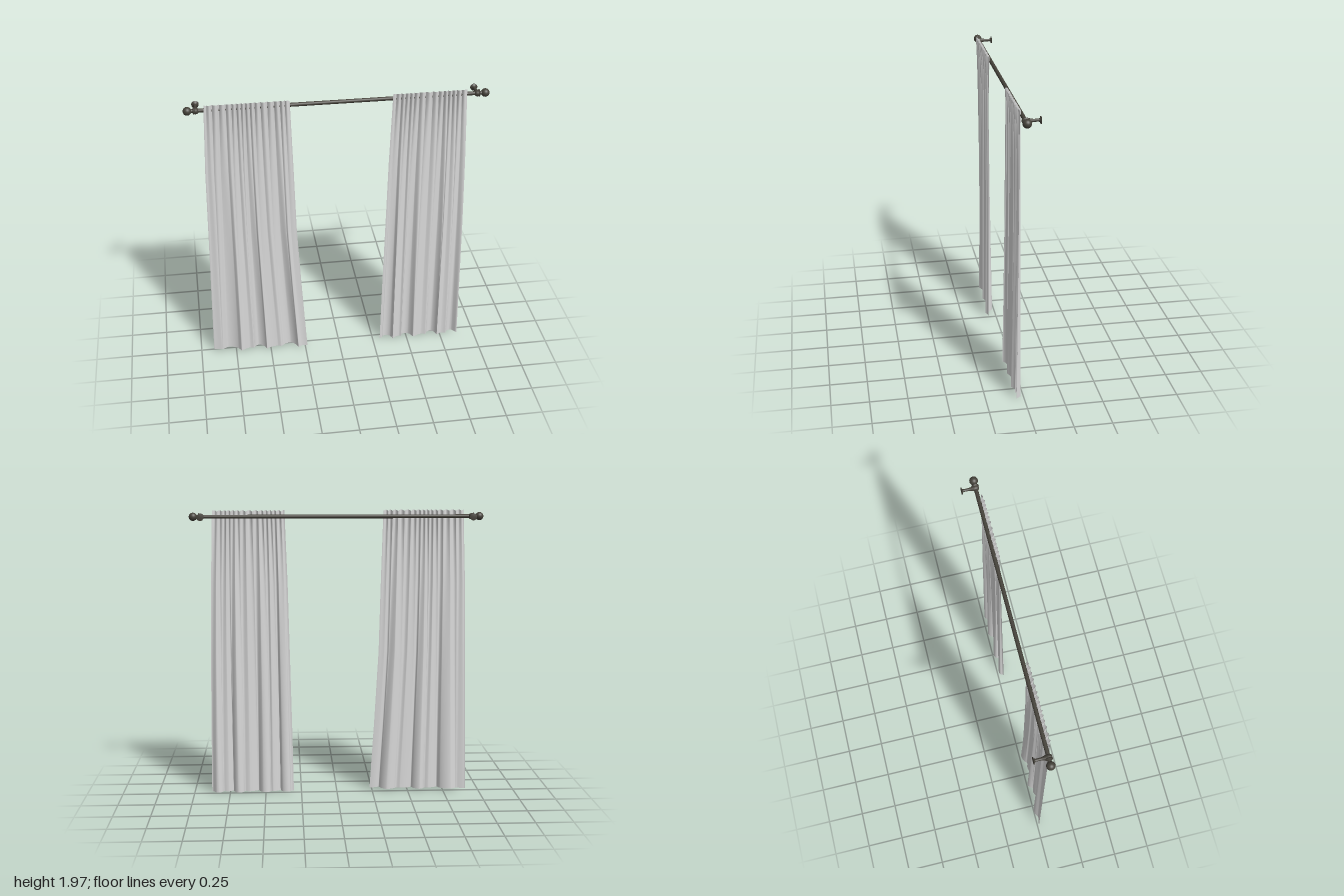
import * as THREE from 'three';

const ROD_Y = 1.93, ROD_Z = 0.014;

// piecewise-linear lookup, values given at equal steps from hem (0) to top (1)
function sample(list, t) {
  const f = t * (list.length - 1), i = Math.min(Math.floor(f), list.length - 2);
  return THREE.MathUtils.lerp(list[i], list[i + 1], f - i);
}

// A gathered cloth panel: tight pleats at the rod opening into broad soft folds at the hem
function curtain({ left, right, leftZ, rightZ, bottom, top, pleats, seed }) {
  const geo = new THREE.PlaneGeometry(1, 1, 280, 36);
  const p = geo.attributes.position;
  for (let i = 0; i < p.count; i++) {
    const u = p.getX(i) + 0.5, v = p.getY(i) + 0.5;
    const open = 1 - v;
    const edge = Math.min(1, Math.min(u, 1 - u) / 0.06);
    // uneven fold spacing, drifting slightly with height
    const w = u + 0.022 * Math.sin(11 * u + seed) + 0.012 * open * Math.sin(5 * u + 2 * v + seed);
    const a = w * pleats * Math.PI * 2 + seed;
    const b = w * 6.7 * Math.PI * 2 + 2 * seed;
    const c = w * 3.3 * Math.PI * 2 + seed;
    // rounded pleats with narrow creases, deepest at the rod
    const pleat = 2 * Math.abs(Math.sin(a / 2)) - 1;
    const depth = 0.0015 + 0.003 * v + 0.0085 * v ** 10;
    const z = 0.034 + edge * (depth * pleat
      + (0.003 + 0.009 * open) * Math.sin(b) * (1 - v ** 10)
      + 0.018 * open * Math.sin(c))
      + open * ((1 - u) ** 6 * (leftZ - 0.034) + u ** 6 * (rightZ - 0.034));
    // broad folds lean sideways as they open
    const lean = edge * 0.01 * open * Math.cos(b);
    const x = THREE.MathUtils.lerp(sample(left, v), sample(right, v), u) + lean;
    const y = THREE.MathUtils.lerp(bottom, top, v) + 0.004 * v ** 8 * pleat;
    p.setXYZ(i, x, y, z);
  }
  geo.computeVertexNormals();
  return geo;
}

export function createModel() {
  const model = new THREE.Group();
  model.name = 'curtainsOnRod';
  const metal = new THREE.MeshStandardMaterial({ color: 0x45423a });
  metal.name = 'dark bronze';
  const cloth = new THREE.MeshStandardMaterial({ color: 0xd8d8d8, side: THREE.DoubleSide });
  cloth.name = 'light grey cloth';

  const add = (name, geo, mat, parent = model) => {
    const m = new THREE.Mesh(geo, mat);
    m.name = name;
    parent.add(m);
    return m;
  };
  const lathe = (pts) => new THREE.LatheGeometry(pts.map(([r, y]) => new THREE.Vector2(r, y)), 24);

  // Rod
  add('rod', new THREE.CylinderGeometry(0.013, 0.013, 1.9, 20).rotateZ(Math.PI / 2), metal)
    .position.set(0, ROD_Y, ROD_Z);

  // Ball ends and wall brackets
  for (const s of [-1, 1]) {
    const end = new THREE.Group();
    end.name = s < 0 ? 'rightEnd' : 'leftEnd';
    end.position.set(0, ROD_Y, ROD_Z);
    model.add(end);
    add('finialBall', new THREE.SphereGeometry(0.028, 24, 16), metal, end).position.x = s * 0.972;
    // collar flaring towards the ball
    add('finialCollar', lathe([[0, -0.012], [0.013, -0.012], [0.024, 0.003], [0.024, 0.008], [0.012, 0.012], [0, 0.012]])
      .rotateZ(-s * Math.PI / 2), metal, end).position.x = s * 0.926;
    // cup around the rod, tapering stem and wall flange
    add('bracket', lathe([[0, -0.022], [0.012, -0.021], [0.019, -0.012], [0.021, 0], [0.018, 0.014],
      [0.012, 0.03], [0.009, 0.05], [0.009, 0.078], [0.013, 0.086], [0.024, 0.09], [0.024, 0.094], [0, 0.094]])
      .rotateX(-Math.PI / 2), metal, end).position.x = s * 0.918;
  }

  // Cloth panels
  add('rightCurtain', curtain({
    left: [-0.91, -0.902, -0.893, -0.885, -0.867], right: [-0.235, -0.265, -0.292, -0.304, -0.318],
    leftZ: 0.01, rightZ: 0.06, bottom: 0.01, top: 1.97, pleats: 16, seed: 1.3,
  }), cloth);
  add('leftCurtain', curtain({
    left: [0.303, 0.313, 0.325, 0.337, 0.355], right: [0.88, 0.876, 0.87, 0.86, 0.845],
    leftZ: 0.04, rightZ: 0.05, bottom: 0, top: 1.968, pleats: 14, seed: 4.1,
  }), cloth);

  return model;
}
